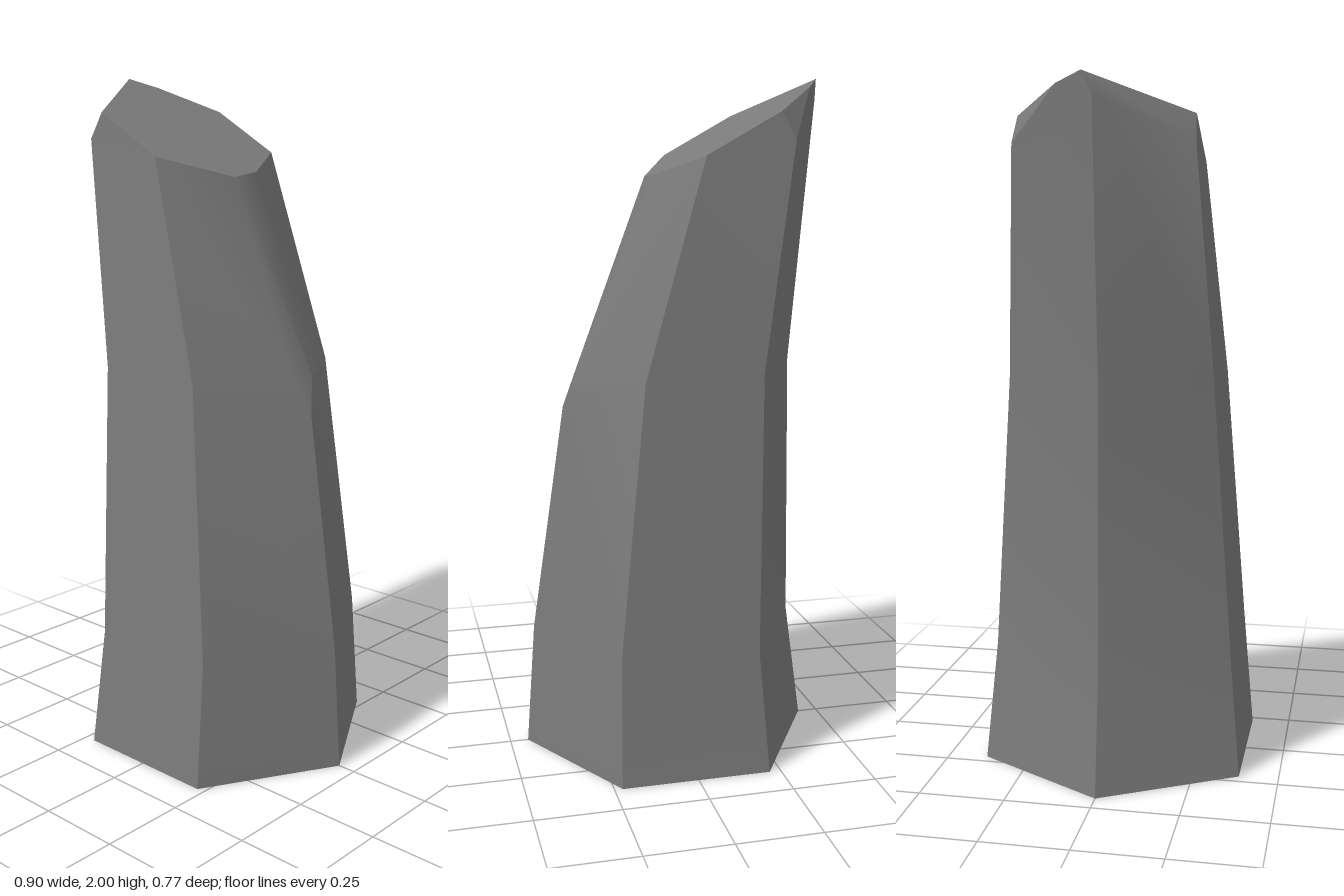
import * as THREE from 'three';
import { toCreasedNormals } from 'three/addons/utils/BufferGeometryUtils.js';

// Hexagonal cross-section. Point order: right edge (front half), front right, front left,
// left edge, left chip, back left, back right, right edge (back half).
// Each corner entry is [x, y]; front and back corners mirror at +z and -z.
function hexRing(right, cornerR, cornerL, left, z) {
  return [
    [...right, 0],
    [...cornerR, z], [...cornerL, z],
    [...left, 0], [...left, 0],
    [...cornerL, -z], [...cornerR, -z],
    [...right, 0],
  ];
}

function columnGeometry() {
  const base = hexRing([0.446, 0], [0.226, 0], [-0.216, 0], [-0.44, 0], 0.384);
  const low = hexRing([0.42, 0.37], [0.22, 0.37], [-0.19, 0.36], [-0.39, 0.36], 0.352);
  const mid = hexRing([0.32, 1.05], [0.135, 1.16], [-0.21, 1.17], [-0.38, 1.17], 0.298);

  // The right edge opens into a worn strip above the middle
  const split = mid.map((p) => [...p]);
  split[0] = [0.28, 1.14, 0.03];
  split[7] = [0.28, 1.16, -0.05];

  // Slanted top face, then the rim below its chipped left edges
  const top = [
    [0.06, 1.72, 0.04], [-0.05, 1.78, 0.25], [-0.265, 1.9, 0.25],
    [-0.442, 2, -0.03], [-0.395, 1.973, -0.11],
    [-0.265, 1.9, -0.25], [-0.05, 1.78, -0.25], [0.045, 1.73, -0.07],
  ];
  const rim = top.map((p) => [...p]);
  rim[2] = [-0.307, 1.825, 0.255];
  rim[3] = [-0.45, 1.94, 0];
  rim[5] = [-0.307, 1.825, -0.257];

  const positions = [];
  const same = (p, q) => p.every((v, i) => v === q[i]);
  const tri = (a, b, c) => {
    if (!same(a, b) && !same(b, c) && !same(a, c)) positions.push(...a, ...b, ...c);
  };

  // Sides
  const rings = [base, low, mid, split, rim, top];
  for (let r = 0; r < rings.length - 1; r++) {
    for (let i = 0; i < 8; i++) {
      const j = (i + 1) % 8;
      const [a, b, c, d] = [rings[r][i], rings[r + 1][i], rings[r + 1][j], rings[r][j]];
      tri(a, b, c);
      tri(a, c, d);
    }
  }
  // End faces
  for (let i = 1; i < 7; i++) {
    tri(top[0], top[i + 1], top[i]);
    tri(base[0], base[i], base[i + 1]);
  }

  const geometry = new THREE.BufferGeometry();
  geometry.setAttribute('position', new THREE.Float32BufferAttribute(positions, 3));
  return toCreasedNormals(geometry, 0.6);
}

export function createModel() {
  const stone = new THREE.MeshStandardMaterial({ color: 0x7a7a7a });
  stone.name = 'grey stone';

  const group = new THREE.Group();
  group.name = 'stoneColumn';
  const column = new THREE.Mesh(columnGeometry(), stone);
  column.name = 'bentHexagonalColumn';
  group.add(column);
  return group;
}
